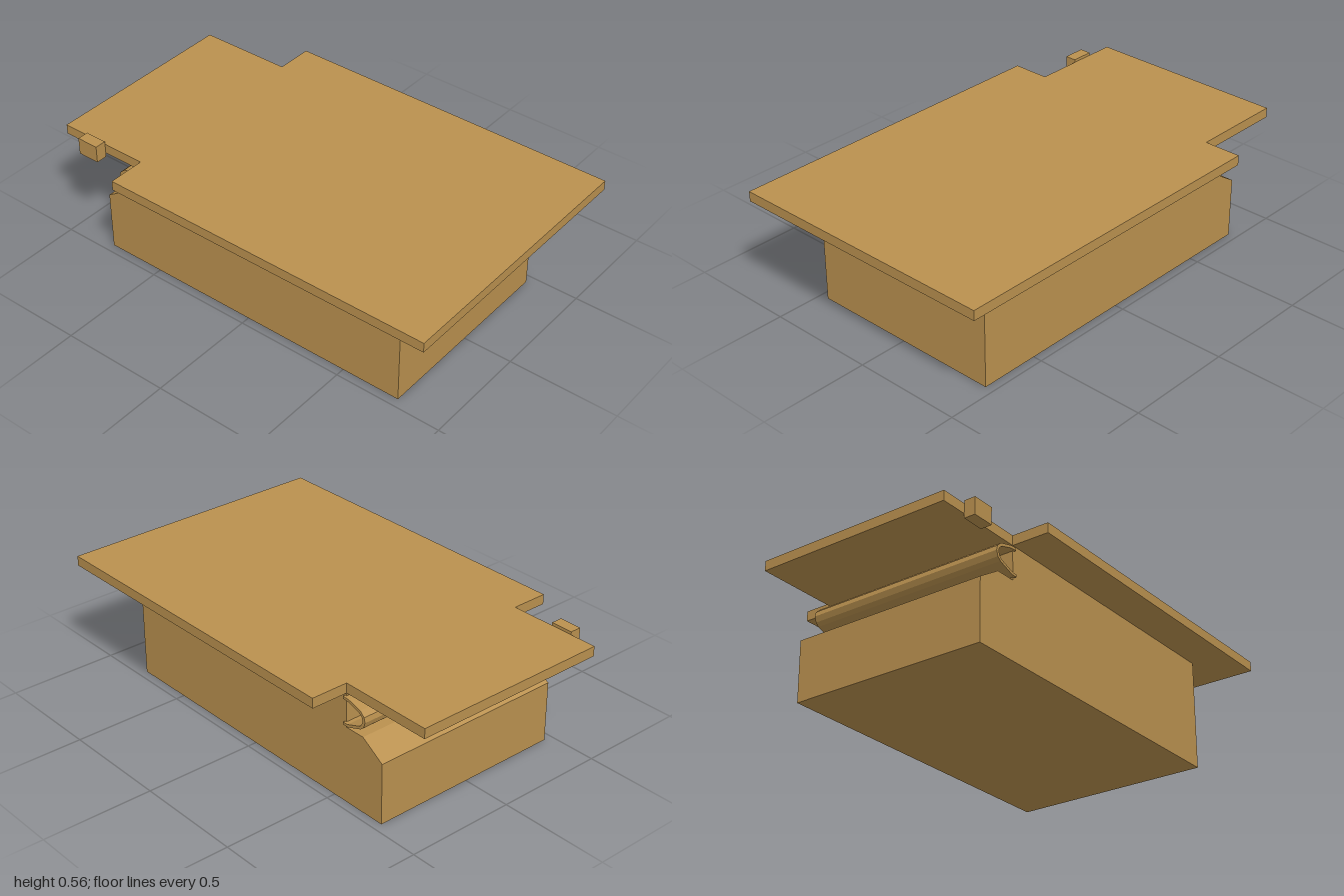
import * as THREE from 'three';

const material = new THREE.MeshStandardMaterial({ color: 0xba914f, flatShading: true });

// Shape from corner points
const outline = (points) => new THREE.Shape(points.map(([x, y]) => new THREE.Vector2(x, y)));

// Side profile (x, y) extruded evenly about z = 0
function profilePart(name, shape, width) {
  const geometry = new THREE.ExtrudeGeometry(shape, { depth: width, bevelEnabled: false, curveSegments: 12 });
  geometry.translate(0, 0, -width / 2);
  const mesh = new THREE.Mesh(geometry, material);
  mesh.name = name;
  return mesh;
}

export function createModel() {
  const model = new THREE.Group();
  model.name = 'box';

  // Main body with a stepped, chamfered end
  model.add(profilePart('body', outline([
    [-0.775, 0], [0.775, 0], [0.775, 0.5], [-0.57, 0.5],
    [-0.57, 0.347], [-0.665, 0.347], [-0.775, 0.277],
  ]), 0.92));

  // Flat top plate, narrower at one end
  const plate = new THREE.ExtrudeGeometry(outline([
    [-1, -0.46], [-0.57, -0.46], [-0.57, -0.63], [1, -0.63],
    [1, 0.63], [-0.57, 0.63], [-0.57, 0.46], [-1, 0.46],
  ]), { depth: 0.045, bevelEnabled: false });
  plate.rotateX(-Math.PI / 2).translate(0, 0.5, 0);
  const top = new THREE.Mesh(plate, material);
  top.name = 'topPlate';
  model.add(top);

  // Bent strip under the plate
  model.add(profilePart('bentStrip', outline([
    [-0.562, 0.488], [-0.595, 0.486], [-0.66, 0.468], [-0.683, 0.447], [-0.688, 0.425],
    [-0.68, 0.4], [-0.664, 0.386], [-0.59, 0.36], [-0.562, 0.36],
    [-0.562, 0.371], [-0.588, 0.372], [-0.657, 0.397], [-0.668, 0.408],
    [-0.675, 0.427], [-0.67, 0.442], [-0.653, 0.456], [-0.595, 0.474], [-0.562, 0.476],
  ]), 0.942));

  // Hollow rail handle on the end wall
  const rail = new THREE.Shape();
  rail.moveTo(0.775, 0.33);
  rail.lineTo(0.812, 0.33);
  rail.absarc(0.812, 0.3575, 0.0275, -Math.PI / 2, Math.PI / 2, false);
  rail.lineTo(0.775, 0.385);
  rail.closePath();
  const bore = new THREE.Path();
  bore.absarc(0.812, 0.3575, 0.021, 0, Math.PI * 2, true);
  rail.holes.push(bore);
  model.add(profilePart('handle', rail, 0.262));

  // Small block on the plate's front edge
  const block = new THREE.Mesh(new THREE.BoxGeometry(0.103, 0.078, 0.052), material);
  block.name = 'edgeBlock';
  block.position.set(-0.825, 0.519, 0.486);
  model.add(block);

  return model;
}
